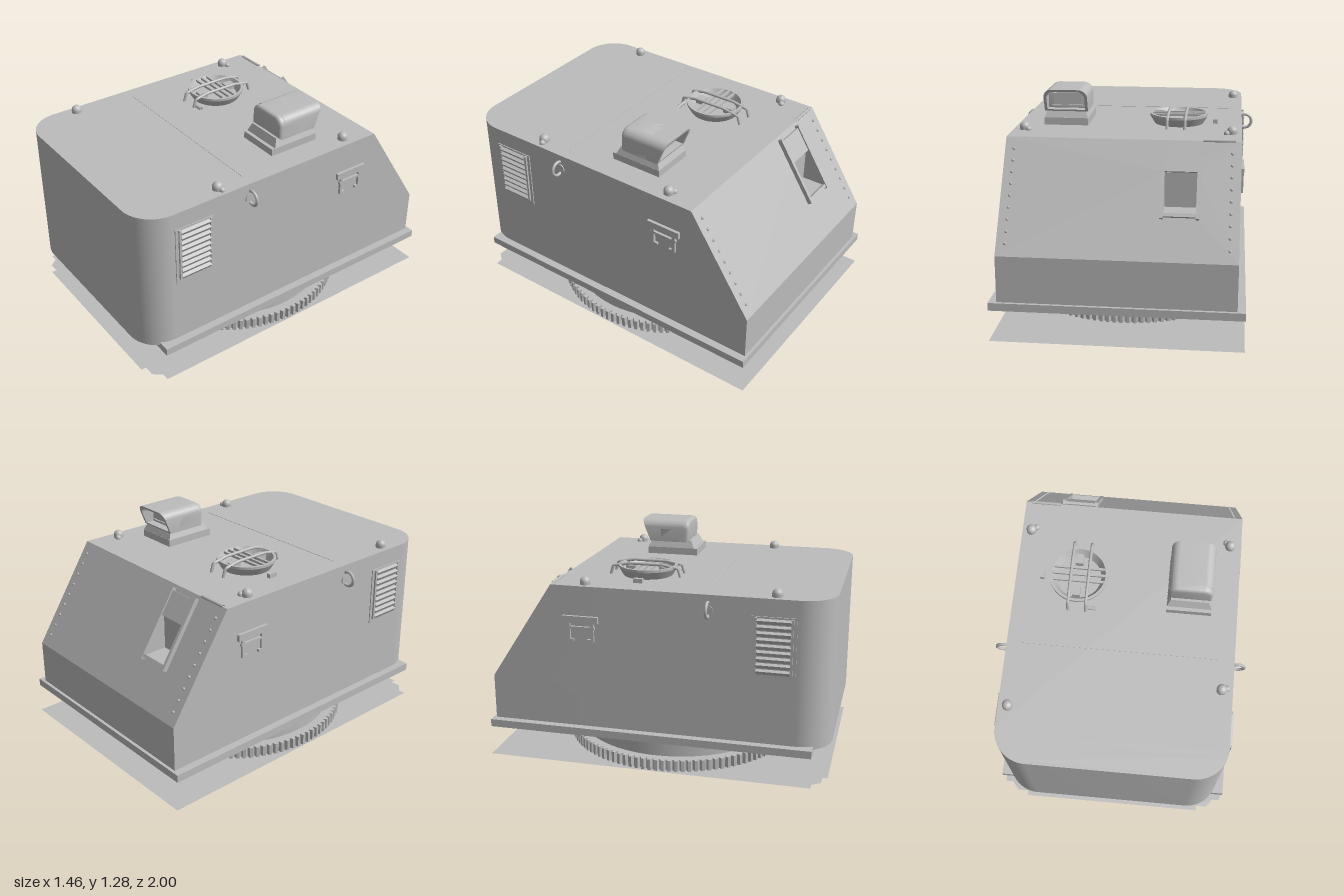
import * as THREE from 'three';
import { toCreasedNormals } from 'three/addons/utils/BufferGeometryUtils.js';

const grey = new THREE.MeshStandardMaterial({ color: 0xbcbcbc });
grey.name = 'grey paint';
grey.side = THREE.DoubleSide;

const ROOF = 1.065, SIDE = 0.655, SLOPE_Z = -0.6, BACK = -0.975, KNEE = 0.49;

function add(parent, name, geo, x = 0, y = 0, z = 0) {
  const m = new THREE.Mesh(geo, grey);
  m.name = name;
  m.position.set(x, y, z);
  parent.add(m);
  return m;
}
const box = (parent, name, w, h, d, x, y, z) => add(parent, name, new THREE.BoxGeometry(w, h, d), x, y, z);

function bar(parent, name, pts, r) {
  const path = new THREE.CurvePath();
  const v = pts.map(p => new THREE.Vector3(...p));
  for (let i = 1; i < v.length; i++) path.add(new THREE.LineCurve3(v[i - 1], v[i]));
  return add(parent, name, new THREE.TubeGeometry(path, (v.length - 1) * 6, r, 8));
}

// Plan outline extruded upwards, with two levels so the upper rear can slope
function hullGeometry() {
  const s = new THREE.Shape();
  s.moveTo(SIDE, -BACK);
  s.lineTo(-SIDE, -BACK);
  s.lineTo(-SIDE, -0.81);
  s.absarc(-SIDE + 0.19, -0.81, 0.19, Math.PI, Math.PI * 1.5);
  s.absarc(SIDE - 0.19, -0.81, 0.19, Math.PI * 1.5, Math.PI * 2);
  s.closePath();
  const g = new THREE.ExtrudeGeometry(s, { depth: 2, steps: 2, bevelEnabled: false, curveSegments: 14 });
  g.rotateX(-Math.PI / 2);
  const p = g.attributes.position;
  for (let i = 0; i < p.count; i++) {
    const level = Math.round(p.getY(i));
    p.setY(i, [0.205, KNEE, ROOF][level]);
    if (level === 2 && p.getZ(i) < -0.9) p.setZ(i, SLOPE_Z);
  }
  // drop the sloping face: it is built separately with an opening
  const keep = [];
  for (let i = 0; i < p.count; i += 3) {
    const t = [0, 1, 2].map(k => new THREE.Vector3().fromBufferAttribute(p, i + k));
    const n = new THREE.Triangle(...t).getNormal(new THREE.Vector3());
    if (!(n.y > 0.3 && n.z < -0.3)) t.forEach(v => keep.push(v.x, v.y, v.z));
  }
  const out = new THREE.BufferGeometry();
  out.setAttribute('position', new THREE.Float32BufferAttribute(keep, 3));
  return toCreasedNormals(out, 0.4);
}

function buildSlope(root) {
  const g = new THREE.Group();
  g.name = 'rearSlope';
  const up = new THREE.Vector3(0, ROOF - KNEE, SLOPE_Z - BACK);
  const len = up.length();
  up.normalize();
  const out = new THREE.Vector3(0, up.z, -up.y);
  const m = new THREE.Matrix4().makeBasis(new THREE.Vector3(-1, 0, 0), up, out).setPosition(0, ROOF, SLOPE_Z);
  g.applyMatrix4(m);
  root.add(g);
  const rect = (c, x0, y0, x1, y1) => c.setFromPoints([[x0, y0], [x1, y0], [x1, y1], [x0, y1]].map(q => new THREE.Vector2(...q)));
  const face = rect(new THREE.Shape(), -SIDE, -len, SIDE, 0);
  const L = 0.24, R = 0.42, lo = -0.42, hi = -0.185;
  face.holes.push(rect(new THREE.Path(), L, lo, R, hi));
  add(g, 'slopePanel', new THREE.ShapeGeometry(face));
  // frame and cover around the opening
  for (const x of [L - 0.008, R + 0.008]) box(g, 'openingSideRail', 0.018, 0.43, 0.03, x, -0.235, 0.012);
  box(g, 'openingSill', 0.21, 0.02, 0.025, 0.33, lo - 0.01, 0.01);
  box(g, 'openingCover', 0.21, 0.15, 0.016, 0.33, -0.11, 0.01);
  // rivet rows
  for (const s of [-1, 1])
    for (let i = 0; i < 9; i++)
      add(g, 'rivet', new THREE.SphereGeometry(0.009, 8, 6), s * 0.605, -0.07 - i * 0.068, 0);
  // niche behind the opening: level floor, upright wall and triangular cheeks
  const y0 = ROOF + lo * up.y, y1 = ROOF + hi * up.y, z0 = SLOPE_Z + lo * up.z, z1 = SLOPE_Z + hi * up.z;
  const floor = add(root, 'nicheFloor', new THREE.PlaneGeometry(R - L, z1 - z0), -(L + R) / 2, y0, (z0 + z1) / 2);
  floor.rotation.x = -Math.PI / 2;
  add(root, 'nicheWall', new THREE.PlaneGeometry(R - L, y1 - y0).rotateY(Math.PI), -(L + R) / 2, (y0 + y1) / 2, z1);
  const tri = new THREE.Shape([[-z0, y0], [-z1, y0], [-z1, y1]].map(q => new THREE.Vector2(...q)));
  for (const x of [-L, -R]) add(root, 'nicheCheek', new THREE.ShapeGeometry(tri).rotateY(Math.PI / 2), x);
}

function buildSight(root) {
  const g = new THREE.Group();
  g.name = 'sight';
  g.position.x = 0.372;
  root.add(g);
  box(g, 'sightFoot', 0.26, 0.045, 0.32, 0, ROOF + 0.02, -0.12);
  const collar = new THREE.CylinderGeometry(0.11 * Math.SQRT2, 0.13 * Math.SQRT2, 0.05, 4, 1).rotateY(Math.PI / 4).toNonIndexed();
  collar.computeVertexNormals();
  add(g, 'sightCollar', collar, 0, 1.13, -0.13).scale.z = 1.15;
  const arch = (C, w, y0, y1, r) => {
    const s = new C();
    s.moveTo(-w, y0);
    s.lineTo(w, y0);
    s.lineTo(w, y1 - r);
    s.absarc(w - r, y1 - r, r, 0, Math.PI / 2);
    s.absarc(-w + r, y1 - r, r, Math.PI / 2, Math.PI);
    s.closePath();
    return s;
  };
  const shell = arch(THREE.Shape, 0.128, 1.145, 1.28, 0.05);
  shell.holes.push(arch(THREE.Path, 0.112, 1.155, 1.265, 0.038));
  const hood = new THREE.ExtrudeGeometry(shell, { depth: 0.27, bevelEnabled: false, curveSegments: 8 });
  hood.translate(0, 0, -0.32);
  const p = hood.attributes.position;
  for (let i = 0; i < p.count; i++) if (p.getZ(i) < -0.2) p.setZ(i, -0.32 + (1.28 - p.getY(i)) * 0.4);
  add(g, 'sightHood', toCreasedNormals(hood, 0.6));
  const front = new THREE.ExtrudeGeometry(arch(THREE.Shape, 0.108, 1.165, 1.26, 0.035),
    { depth: 0.16, bevelSize: 0.02, bevelThickness: 0.02, bevelSegments: 4, curveSegments: 8 });
  add(g, 'sightBody', toCreasedNormals(front, 0.7), 0, 0, -0.195);
  box(g, 'sightWindow', 0.16, 0.06, 0.008, 0, 1.205, -0.218);
  for (const y of [1.17, 1.24]) box(g, 'sightWindowFrame', 0.18, 0.012, 0.02, 0, y, -0.222);
}

function buildHatch(root) {
  const g = new THREE.Group();
  g.name = 'roofVent';
  g.position.set(-0.283, ROOF, -0.13);
  root.add(g);
  const rim = [[0.145, 0], [0.172, 0.045], [0.172, 0.06], [0.157, 0.06], [0.13, 0.012], [0, 0.012]];
  add(g, 'ventRim', toCreasedNormals(new THREE.LatheGeometry(rim.map(q => new THREE.Vector2(...q)), 40).toNonIndexed(), 0.5));
  for (const z of [-0.04, 0, 0.04]) box(g, 'ventSlat', 0.32, 0.014, 0.014, 0, 0.052, z);
  for (const z of [-0.1, 0.1]) box(g, 'ventBlock', 0.045, 0.04, 0.06, -0.005, 0.03, z);
  for (const x of [-0.045, 0.058])
    bar(g, 'guardBar', [[x, 0, -0.215], [x, 0.05, -0.2], [x, 0.068, -0.1], [x, 0.068, 0.1], [x, 0.05, 0.19], [x, 0, 0.205]], 0.009);
  bar(g, 'latch', [[0.058, 0.012, 0.19], [0.115, 0.012, 0.19]], 0.011);
  box(g, 'hinge', 0.025, 0.03, 0.055, -0.215, 0.01, 0);
}

function buildSide(root, s) {
  const g = new THREE.Group();
  g.name = s > 0 ? 'leftFittings' : 'rightFittings';
  root.add(g);
  const x = s * SIDE;
  // louvred vent
  box(g, 'louvrePlate', 0.012, 0.35, 0.25, x, 0.79, 0.675);
  for (const z of [0.575, 0.775]) box(g, 'louvreFrame', 0.035, 0.32, 0.014, x, 0.8, z);
  for (let i = 0; i < 9; i++)
    box(g, 'louvreSlat', 0.032, 0.022, 0.19, x + s * 0.004, 0.655 + i * 0.036, 0.675).rotation.z = s * -0.5;
  // lifting eye
  add(g, 'eyeBoss', new THREE.CylinderGeometry(0.03, 0.03, 0.012, 20).rotateZ(Math.PI / 2), x, 0.975, 0.31);
  add(g, 'liftingEye', new THREE.TorusGeometry(0.042, 0.009, 8, 28), s * 0.677, 0.985, 0.31);
  // folding step
  box(g, 'stepTop', 0.035, 0.04, 0.21, x, 0.873, -0.425);
  box(g, 'stepBar', 0.03, 0.014, 0.17, x, 0.825, -0.425);
  for (const z of [-0.355, -0.495]) box(g, 'stepLeg', 0.03, 0.11, 0.018, x, 0.8, z);
  for (const z of [-0.37, -0.48]) box(g, 'stepFoot', 0.03, 0.014, 0.03, x, 0.752, z);
}

export function createModel() {
  const root = new THREE.Group();
  root.name = 'turret';

  // ground sheet with stepped front corners
  const half = [[0.7, 1], [0.7, -0.91], [0.655, -0.91], [0.615, -0.96], [0.55, -0.96], [0.55, -0.99]];
  const outline = [...half, ...half.map(([x, y]) => [-x, y]).reverse()];
  add(root, 'groundSheet', new THREE.ShapeGeometry(new THREE.Shape(outline.map(q => new THREE.Vector2(...q)))).rotateX(-Math.PI / 2), 0, 0.002, 0);

  // toothed ring and neck
  const teeth = 110, gear = [];
  for (let i = 0; i < teeth; i++)
    [[0, 0.675], [0.2, 0.695], [0.65, 0.695], [0.85, 0.675]].forEach(([f, r]) => {
      const a = (i + f) / teeth * Math.PI * 2;
      gear.push(new THREE.Vector2(Math.cos(a) * r, Math.sin(a) * r));
    });
  add(root, 'toothedRing', new THREE.ExtrudeGeometry(new THREE.Shape(gear), { depth: 0.066, bevelEnabled: false }).rotateX(-Math.PI / 2), 0, 0.004, 0);
  add(root, 'neck', new THREE.CylinderGeometry(0.63, 0.63, 0.13, 64), 0, 0.125, 0);

  // body
  box(root, 'basePlate', 1.4, 0.045, 1.9, 0, 0.202, -0.043);
  add(root, 'hull', hullGeometry());
  buildSlope(root);
  box(root, 'roofSeam', 1.14, 0.004, 0.006, 0, ROOF, 0.3);
  bar(root, 'roofEdgeRod', [[-0.62, 1.067, -0.597], [-0.445, 1.067, -0.597]], 0.009);

  buildSight(root);
  buildHatch(root);
  for (const s of [-1, 1]) buildSide(root, s);

  // roof lifting knobs
  for (const [x, z, dx, dz] of [[-0.6, -0.41, 0.03, -0.02], [0.59, -0.41, -0.025, -0.02], [0.59, 0.48, 0.03, -0.01], [-0.6, 0.68, 0, 0]]) {
    add(root, 'knobStem', new THREE.CylinderGeometry(0.03, 0.03, 0.02, 16), x, ROOF + 0.008, z);
    add(root, 'knob', new THREE.SphereGeometry(0.03, 18, 12), x, ROOF + 0.015, z);
    if (dx) add(root, 'knobPin', new THREE.SphereGeometry(0.018, 12, 8), x + dx, ROOF + 0.005, z + dz);
  }
  return root;
}
